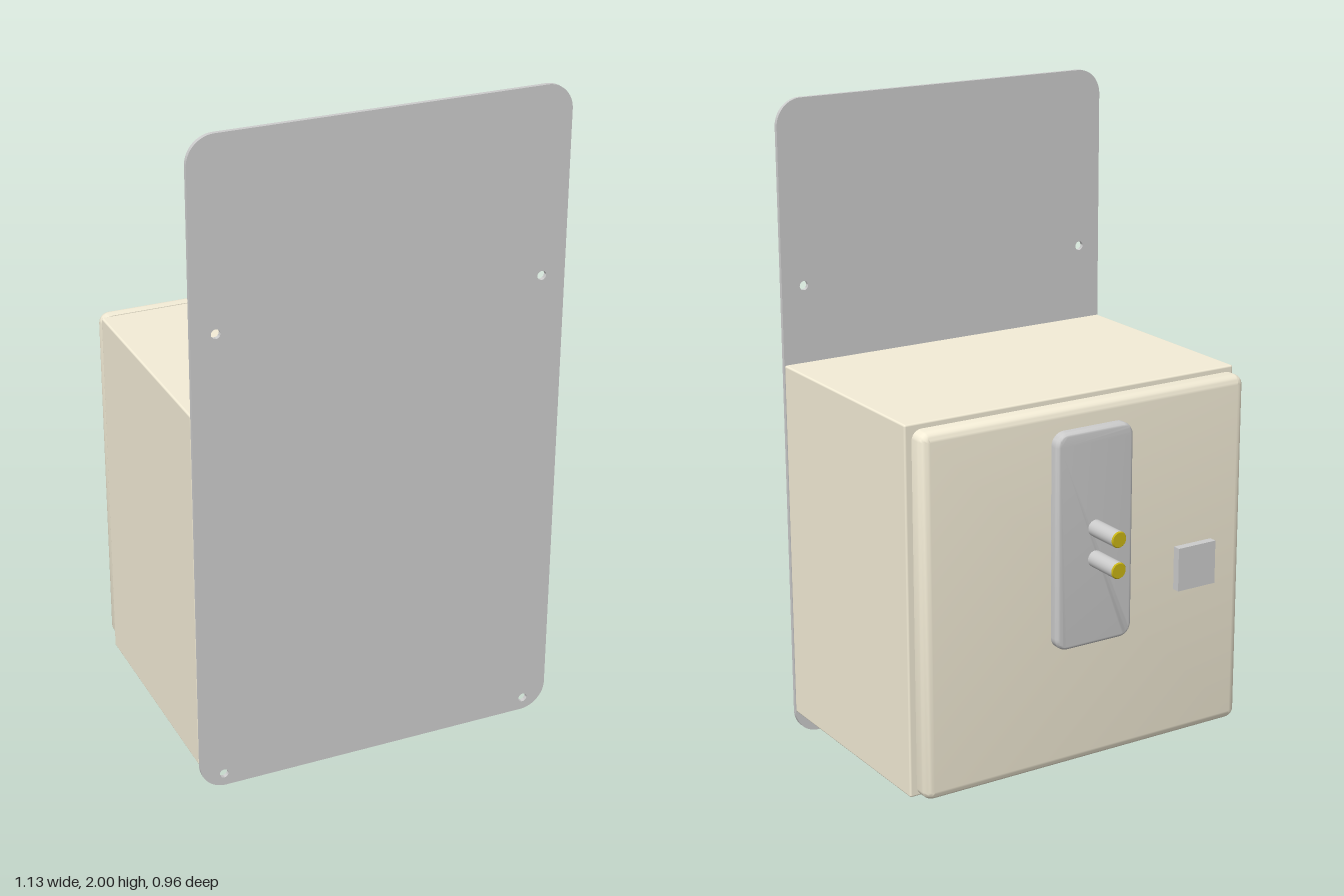
import * as THREE from 'three';
import { toCreasedNormals } from 'three/addons/utils/BufferGeometryUtils.js';
import { RoundedBoxGeometry } from 'three/addons/geometries/RoundedBoxGeometry.js';

const grey = new THREE.MeshStandardMaterial({ color: 0xcccccc });
const beige = new THREE.MeshStandardMaterial({ color: 0xf3ecd6 });
const gold = new THREE.MeshStandardMaterial({ color: 0xc8b414 });

function roundedRect(w, h, r) {
  const s = new THREE.Shape();
  const x = w / 2 - r, y = h / 2 - r;
  s.absarc(x, y, r, 0, Math.PI / 2);
  s.absarc(-x, y, r, Math.PI / 2, Math.PI);
  s.absarc(-x, -y, r, Math.PI, Math.PI * 1.5);
  s.absarc(x, -y, r, Math.PI * 1.5, Math.PI * 2);
  s.closePath();
  return s;
}

// Slab growing toward -z from z = 0, with its outer rim rounded by `round`
function roundedSlab(w, h, depth, corner, round) {
  const rings = [[0, 0]];
  for (let i = 0; i <= 6; i++) {
    const a = (i / 6) * Math.PI / 2;
    rings.push([round * (1 - Math.cos(a)), -(depth - round) - round * Math.sin(a)]);
  }
  const pos = [], index = [], steps = 8, n = 4 * (steps + 1);
  for (const [inset, z] of rings) {
    const r = corner - inset;
    for (let q = 0; q < 4; q++) {
      const sx = q === 0 || q === 3 ? 1 : -1, sy = q < 2 ? 1 : -1;
      for (let k = 0; k <= steps; k++) {
        const a = (q + k / steps) * Math.PI / 2;
        pos.push(sx * (w / 2 - corner) + r * Math.cos(a), sy * (h / 2 - corner) + r * Math.sin(a), z);
      }
    }
  }
  for (let j = 0; j < rings.length - 1; j++) {
    for (let i = 0; i < n; i++) {
      const a = j * n + i, b = j * n + (i + 1) % n;
      index.push(a, a + n, b, b, a + n, b + n);
    }
  }
  // End caps
  const last = (rings.length - 1) * n;
  for (let i = 1; i < n - 1; i++) {
    index.push(0, i, i + 1, last, last + i + 1, last + i);
  }
  const g = new THREE.BufferGeometry();
  g.setAttribute('position', new THREE.Float32BufferAttribute(pos, 3));
  g.setIndex(index);
  return toCreasedNormals(g, 0.6);
}

export function createModel() {
  const model = new THREE.Group();
  const add = (name, geometry, material, x, y, z) => {
    const m = new THREE.Mesh(geometry, material);
    m.name = name;
    m.position.set(x, y, z);
    model.add(m);
    return m;
  };

  // Mounting plate with four screw holes
  const plate = roundedRect(1.13, 2, 0.08);
  for (const x of [-0.492, 0.492]) {
    for (const y of [-0.96, 0.44]) {
      plate.holes.push(new THREE.Path().absarc(x, y, 0.014, 0, Math.PI * 2, true));
    }
  }
  const plateGeo = new THREE.ExtrudeGeometry(plate, { depth: 0.013, bevelEnabled: false, curveSegments: 12 });
  add('mountingPlate', toCreasedNormals(plateGeo, 0.6), grey, 0, 1, 0.467);

  // Enclosure, the spacer behind the door, and the door
  add('enclosure', new RoundedBoxGeometry(1.13, 1.125, 0.719, 3, 0.006), beige, 0, 0.6425, 0.1075);
  add('doorSpacer', new THREE.BoxGeometry(0.524, 0.525, 0.023), grey, 0, 0.6425, -0.2625);
  add('door', roundedSlab(1.11, 1.105, 0.054, 0.032, 0.028), beige, 0, 0.6425, -0.273);

  // Connector plate and small label plate on the door
  add('connectorPlate', roundedSlab(0.264, 0.66, 0.031, 0.04, 0.012), grey, 0, 0.8, -0.327);
  add('smallPlate', new THREE.BoxGeometry(0.135, 0.135, 0.025), grey, -0.372, 0.635, -0.3395);

  // Two pins with gold tips
  for (const y of [0.736, 0.83]) {
    const pin = new THREE.CylinderGeometry(0.025, 0.025, 0.12, 32).rotateX(Math.PI / 2);
    add('pin', pin, grey, 0, y, -0.416);
    const tip = new THREE.CylinderGeometry(0.025, 0.022, 0.004, 32).rotateX(Math.PI / 2);
    add('pinTip', tip, gold, 0, y, -0.478);
  }
  return model;
}
